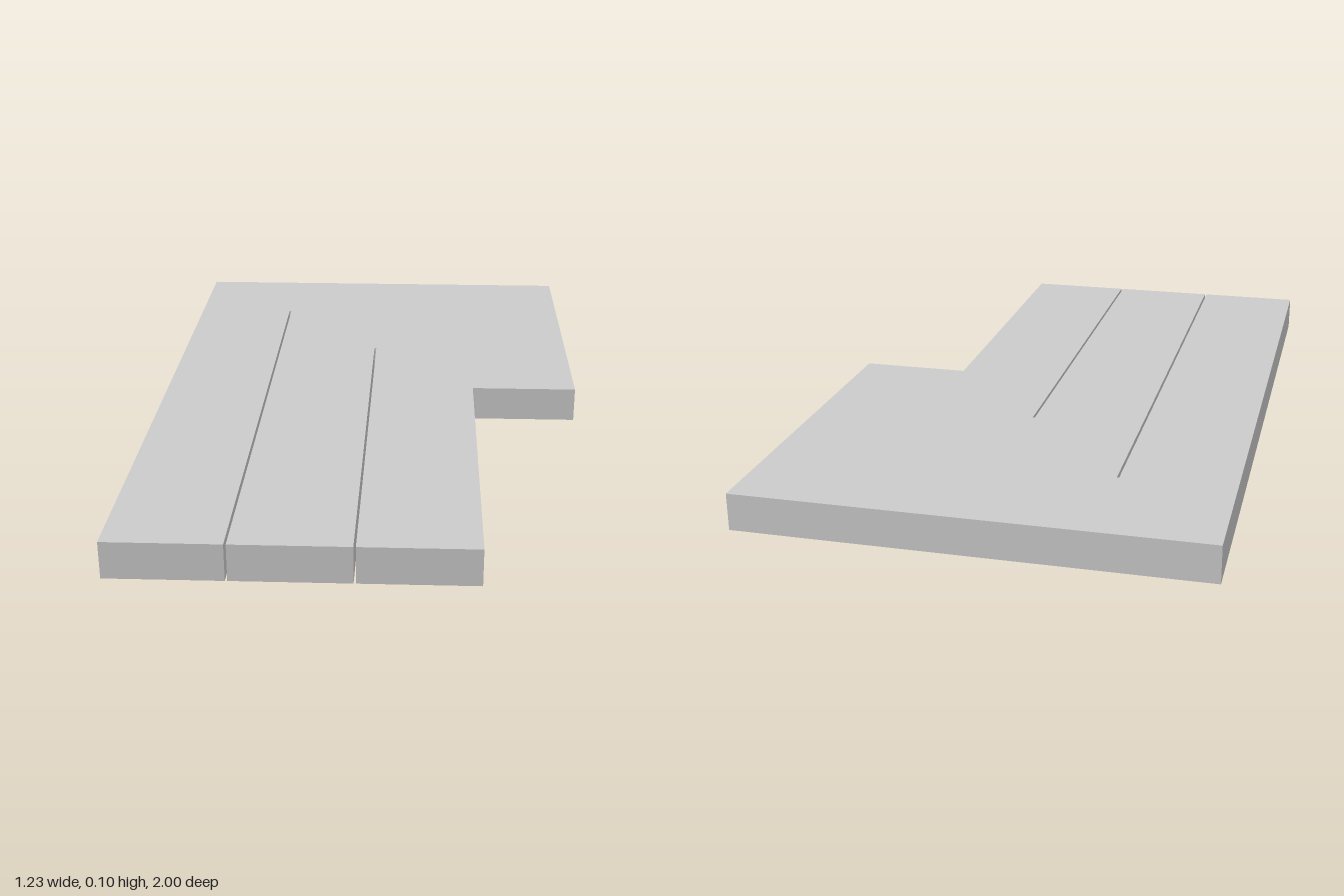
import * as THREE from 'three';

const HEIGHT = 0.1;
const SLOT_WIDTH = 0.006;

export function createModel() {
  const group = new THREE.Group();
  group.name = 'slottedPlate';

  // Narrow saw slots, open at the front edge: centre x and inner end z
  const slots = [{ x: 0, end: -0.33 }, { x: -0.311, end: -0.68 }];

  // Stepped plate outline, drawn as (x, -z)
  const outline = [[-0.617, -1], [-0.617, 1], [0.617, 1], [0.617, 0], [0.308, 0], [0.308, -1]];
  for (const { x, end } of slots) {
    const a = x + SLOT_WIDTH / 2, b = x - SLOT_WIDTH / 2;
    outline.push([a, -1], [a, -end], [b, -end], [b, -1]);
  }
  const shape = new THREE.Shape(outline.map(([x, y]) => new THREE.Vector2(x, y)));

  // Lay the extrusion flat on the ground
  const geometry = new THREE.ExtrudeGeometry(shape, { depth: HEIGHT, bevelEnabled: false });
  geometry.rotateX(-Math.PI / 2);

  const plate = new THREE.Mesh(
    geometry,
    new THREE.MeshStandardMaterial({ color: 0xcccccc, flatShading: true })
  );
  plate.name = 'plate';
  group.add(plate);
  return group;
}
